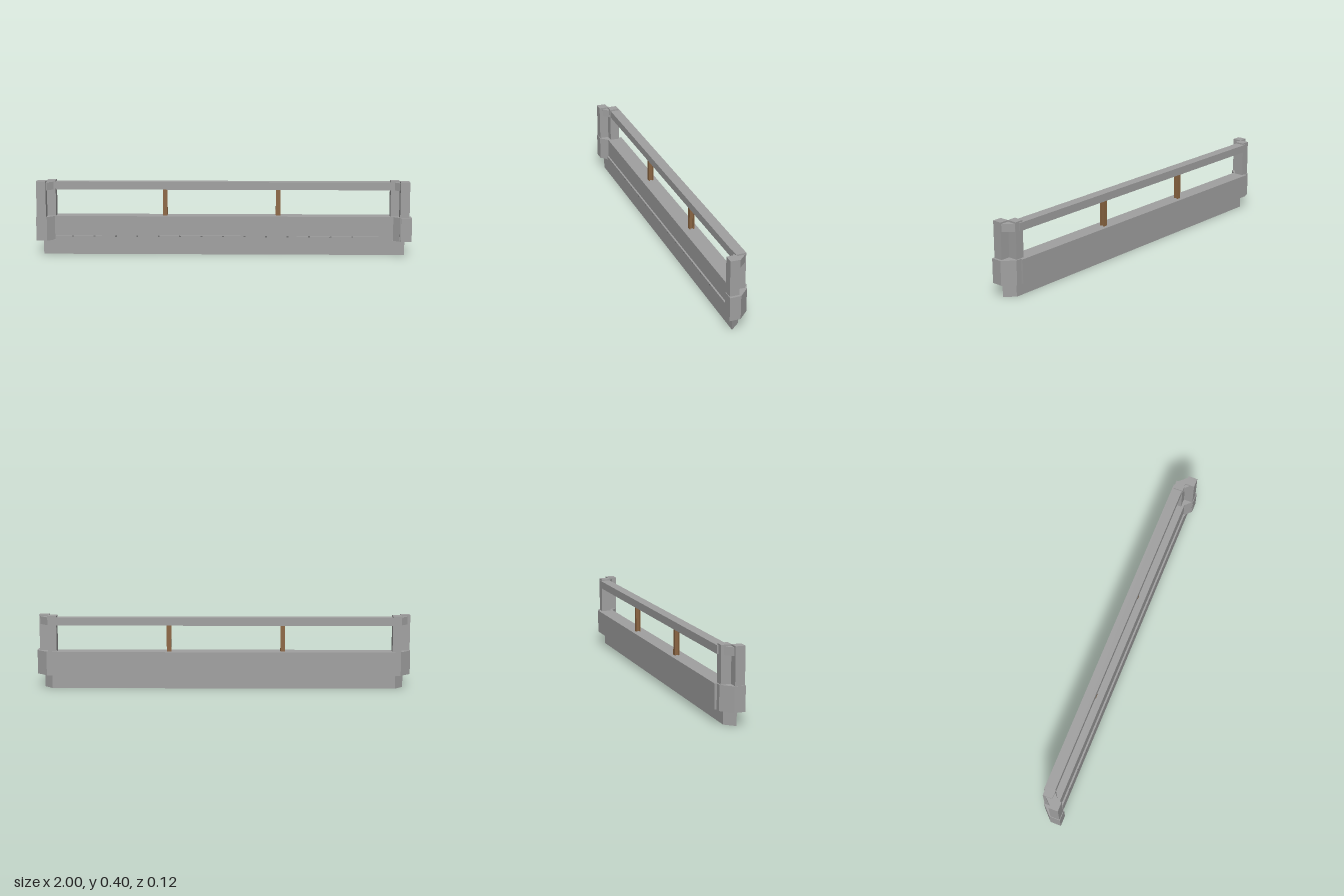
import * as THREE from 'three';

export function createModel() {
  const group = new THREE.Group();
  const mat = (name, color) => {
    const m = new THREE.MeshStandardMaterial({ color });
    m.name = name;
    return m;
  };
  const concrete = mat('concrete grey', 0xa0a0a0);
  const rust = mat('rust brown', 0x8c6642);
  const shade = mat('drain dark grey', 0x707070);

  const add = (name, geometry, material = concrete, parent = group) => {
    const mesh = new THREE.Mesh(geometry, material);
    mesh.name = name;
    parent.add(mesh);
    return mesh;
  };
  // Box given by its minimum and maximum on each axis
  const box = (name, [x0, x1], [y0, y1], [z0, z1], material, parent) => {
    const g = new THREE.BoxGeometry(x1 - x0, y1 - y0, z1 - z0);
    g.translate((x0 + x1) / 2, (y0 + y1) / 2, (z0 + z1) / 2);
    return add(name, g, material, parent);
  };
  // Upright prism from a plan outline of [x, z] points
  const prism = (name, plan, y0, y1, parent) => {
    const shape = new THREE.Shape(plan.map(([x, z]) => new THREE.Vector2(x, -z)));
    const g = new THREE.ExtrudeGeometry(shape, { depth: y1 - y0, bevelEnabled: false });
    g.rotateX(-Math.PI / 2);
    g.translate(0, y0, 0);
    return add(name, g, concrete, parent);
  };

  // Parapet wall, and the lower beam with slanted ends
  box('parapetWall', [-0.915, 0.915], [0.076, 0.204], [-0.061, 0.024]);
  prism('lowerBeam', [[-0.965, 0.033], [0.965, 0.033], [0.92, -0.018], [-0.92, -0.018]], 0, 0.076);
  box('beamLip', [-0.9, 0.9], [0.076, 0.1], [0, 0.033]);

  // Row of small drain marks along the lip
  for (let i = 0; i < 14; i++) {
    const x = -0.808 + i * 0.115;
    box('drainMark', [x - 0.005, x + 0.005], [0.094, 0.1], [0.03, 0.035], shade);
  }

  // Top rail
  box('topRail', [-0.915, 0.915], [0.345, 0.387], [-0.05, 0.005]);

  // Corner posts: two square columns tied by slanted base and rail blocks
  for (const side of [-1, 1]) {
    const post = new THREE.Group();
    post.name = side < 0 ? 'rightCornerPost' : 'leftCornerPost';
    group.add(post);
    const span = (a, b) => [side * a, side * b].sort((p, q) => p - q);
    const plan = (points) => points.map(([x, z]) => [side * x, z]);
    const s = side < 0 ? 0.006 : -0.004;

    box('outerColumn', span(0.941 + s, 0.991 + s), [0.076, 0.395], [0.009, 0.059], concrete, post);
    box('innerColumn', span(0.894 + s, 0.941 + s), [0.076, 0.395], [-0.043, 0.009], concrete, post);
    prism('slantedBase', plan([
      [1, 0.062], [1, 0.005], [0.945, -0.049], [0.89, -0.049], [0.89, 0.024], [0.905, 0.024], [0.943, 0.062],
    ]), 0.076, 0.204, post);
    prism('slantedRailBlock', plan([
      [0.982, 0.04], [0.982, 0.009], [0.935, -0.04], [0.9, -0.04], [0.907, 0.005], [0.943, 0.04],
    ]), 0.345, 0.387, post);
  }

  // Steel supports with an I-shaped section
  for (const x of [-0.315, 0.291]) {
    const support = new THREE.Group();
    support.name = 'railSupport';
    group.add(support);
    const y = [0.204, 0.346];
    box('frontFlange', [x - 0.012, x + 0.012], y, [-0.018, -0.012], rust, support);
    box('backFlange', [x - 0.012, x + 0.012], y, [-0.038, -0.032], rust, support);
    box('web', [x - 0.004, x + 0.004], y, [-0.032, -0.018], rust, support);
  }
  return group;
}
